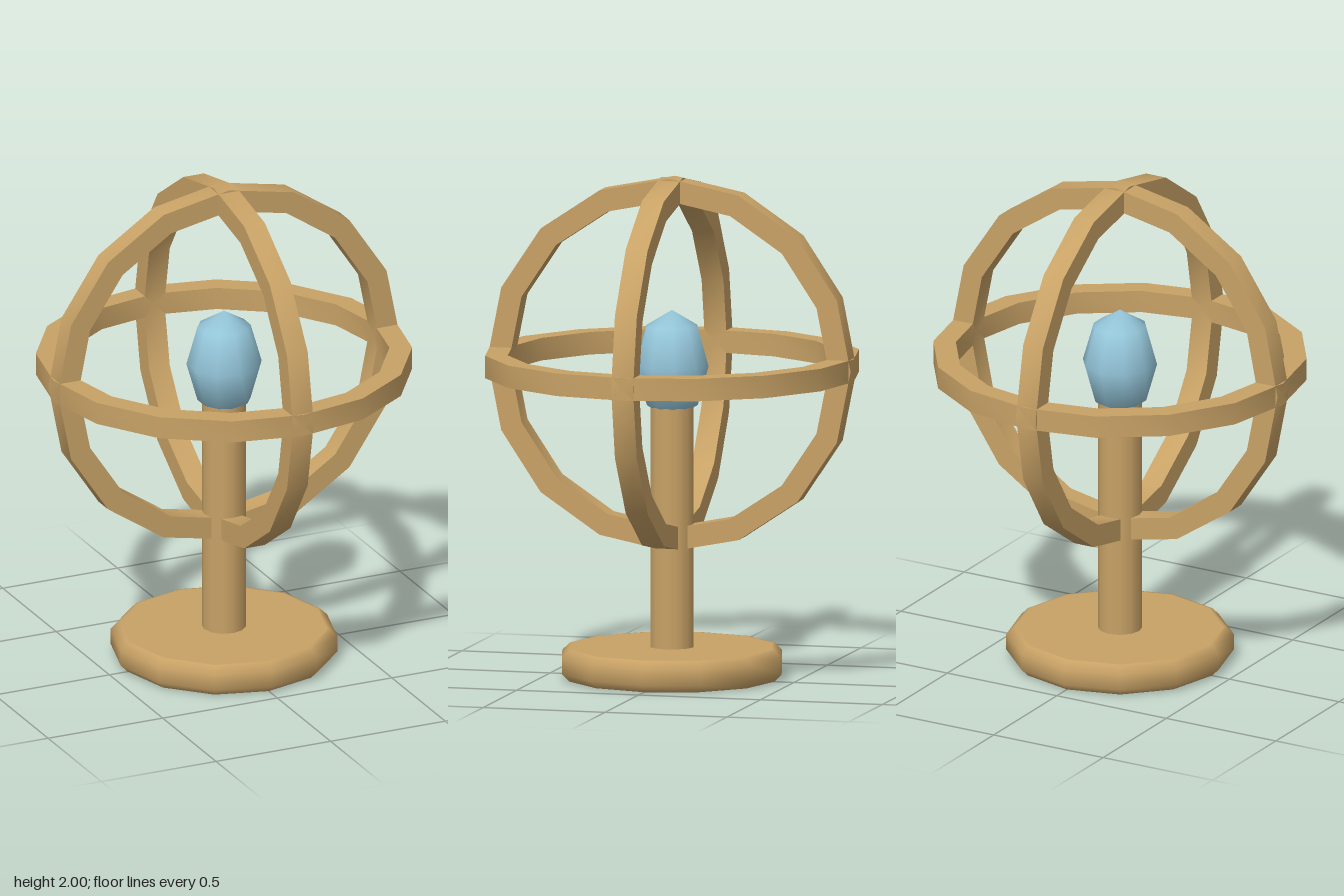
import * as THREE from 'three';
import { toCreasedNormals } from 'three/addons/utils/BufferGeometryUtils.js';

const profile = (pairs) => pairs.map(([r, y]) => new THREE.Vector2(r, y));

export function createModel() {
  const model = new THREE.Group();
  model.name = 'ringGlobe';

  const brass = new THREE.MeshStandardMaterial({ color: 0xc8a266 });
  brass.name = 'brass';
  const paleBlue = new THREE.MeshStandardMaterial({ color: 0x96c8dc });
  paleBlue.name = 'paleBlue';

  const add = (name, geometry, material, y) => {
    const mesh = new THREE.Mesh(geometry, material);
    mesh.name = name;
    mesh.position.y = y;
    model.add(mesh);
    return mesh;
  };

  // Twelve-sided foot with a soft bevel; the narrow cap bands keep top and bottom flat
  add('base', new THREE.LatheGeometry(profile([
    [0, 0], [0.41, 0], [0.42, 0], [0.45, 0.03],
    [0.45, 0.095], [0.42, 0.125], [0.41, 0.125], [0, 0.125],
  ]), 12), brass, 0);

  // Column
  add('column', new THREE.CylinderGeometry(0.088, 0.088, 1.0, 12), brass, 0.6);

  // Faceted egg-shaped core, smooth shaded
  const core = new THREE.SphereGeometry(0.15, 10, 4);
  core.rotateY(Math.PI / 2);
  core.scale(1, 0.22 / 0.15, 1);
  add('core', core, paleBlue, 1.25);

  // Three square-section rings at right angles to one another
  const ring = toCreasedNormals(new THREE.LatheGeometry(profile([
    [0.655, -0.045], [0.745, -0.045], [0.745, 0.045], [0.655, 0.045], [0.655, -0.045],
  ]), 16), 0.6);
  add('horizontalRing', ring, brass, 1.255);
  add('frontRing', ring, brass, 1.255).rotation.x = Math.PI / 2;
  add('sideRing', ring, brass, 1.255).rotation.z = Math.PI / 2;

  return model;
}
